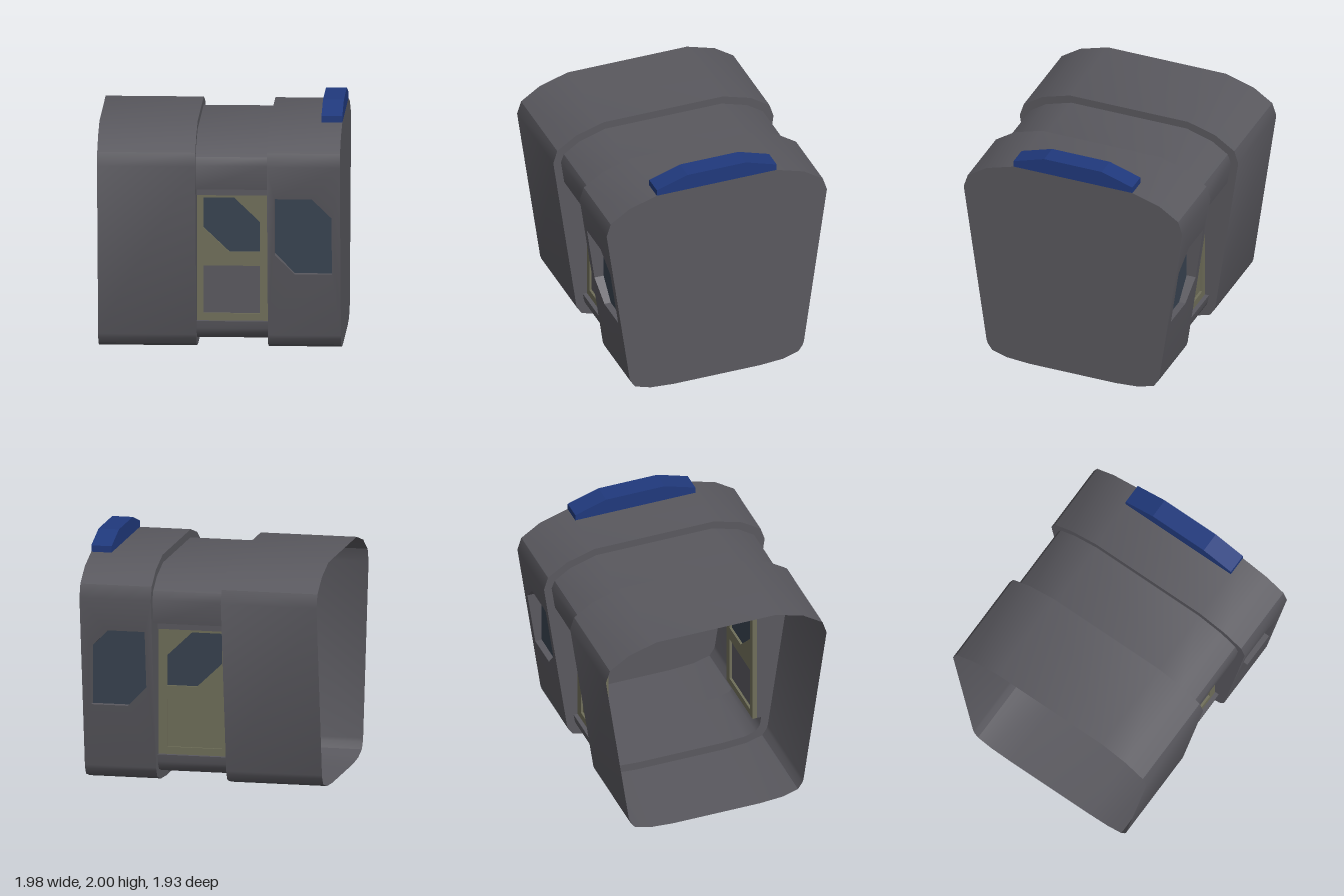
import * as THREE from 'three';
import { mergeGeometries, toCreasedNormals } from 'three/addons/utils/BufferGeometryUtils.js';

const mat = (color) => new THREE.MeshStandardMaterial({ color, side: THREE.DoubleSide });
const V = (pts) => pts.map(([a, b]) => new THREE.Vector2(a, b));

// Half cross-sections as [z, y], from the floor up to the roof
const OUTER = [[0.38, 0], [0.58, 0.014], [0.715, 0.055], [0.753, 0.11], [0.763, 0.14],
  [0.965, 1.57], [0.93, 1.68], [0.765, 1.79], [0.522, 1.863]];
const DOOR_Z = 0.67, SILL = 0.24, LINTEL = 1.365;
const INNER = [[0.37, 0.068], [0.56, 0.08], [0.655, 0.11], [0.687, 0.15], [0.697, 0.18],
  [0.706, SILL], [DOOR_Z, SILL], [DOOR_Z, LINTEL], [0.869, LINTEL],
  [0.898, 1.565], [0.872, 1.635], [0.735, 1.728], [0.51, 1.797]];
const X0 = -0.99, XA = -0.19, XB = 0.395, X1 = 0.99;

const fullLoop = (half) => [...half, ...half.map(([z, y]) => [-z, y]).reverse()];
const wallZ = (y) => 0.763 + (y - 0.14) * (0.965 - 0.763) / (1.57 - 0.14);

// Outlines in x, y
const SIDE_WINDOW = [[0.455, 1.3], [0.76, 1.3], [0.92, 1.14], [0.92, 0.66], [0.615, 0.66], [0.455, 0.825]];
const DOOR_WINDOW = [[-0.135, 1.26], [0.115, 1.26], [0.325, 1.06], [0.325, 0.81], [0.075, 0.81], [-0.135, 1.01]];
const DOOR_PANEL = [[-0.135, 0.695], [0.325, 0.695], [0.325, 0.3], [-0.135, 0.3]];
const rect = (xa, xb, ya, yb) => [[xa, ya], [xb, ya], [xb, yb], [xa, yb]];

function shapeOf(pts, ...holes) {
  const shape = new THREE.Shape(V(pts));
  holes.forEach((h) => shape.holes.push(new THREE.Path(V(h))));
  return shape;
}

// Builds quads from lists of four corners
function quads(list) {
  const pos = [];
  for (const [a, b, c, d] of list) pos.push(...a, ...b, ...c, ...a, ...c, ...d);
  const g = new THREE.BufferGeometry();
  g.setAttribute('position', new THREE.Float32BufferAttribute(pos, 3));
  g.computeVertexNormals();
  return g;
}

// Sweeps a closed cross-section along x, leaving out segments between heights in skip
function sweep(half, xa, xb, skip) {
  const loop = fullLoop(half), list = [];
  loop.forEach(([z, y], i) => {
    const [z2, y2] = loop[(i + 1) % loop.length];
    if (skip && Math.min(y, y2) === skip[0] && Math.max(y, y2) === skip[1]) return;
    list.push([[xa, y, z], [xb, y, z], [xb, y2, z2], [xa, y2, z2]]);
  });
  return quads(list);
}

// Sloping side wall with a window opening; s is the side
function windowWall(s) {
  const g = new THREE.ShapeGeometry(shapeOf(rect(XB, X1, 0.14, 1.57), SIDE_WINDOW));
  const p = g.attributes.position;
  for (let i = 0; i < p.count; i++) p.setZ(i, s * wallZ(p.getY(i)));
  if (s < 0) g.index.array.reverse();
  const flat = g.toNonIndexed();
  flat.deleteAttribute('uv');
  flat.computeVertexNormals();
  return flat;
}

export function createModel() {
  const model = new THREE.Group();
  const shellMat = mat(0x59585e), oliveMat = mat(0x6f6e59), glassMat = mat(0x37424f), blueMat = mat(0x20397c);
  const add = (parent, name, geometry, material) => {
    const m = new THREE.Mesh(geometry, material);
    m.name = name;
    parent.add(m);
    return m;
  };
  const smooth = (g) => toCreasedNormals(g, 0.6);

  // Hull: open rear section, recessed door section, windowed end section
  add(model, 'openSection', smooth(sweep(OUTER, X0, XA)), shellMat);
  add(model, 'doorSection', smooth(sweep(INNER, XA, XB, [SILL, LINTEL])), shellMat);
  add(model, 'endSection', smooth(mergeGeometries(
    [sweep(OUTER, XB, X1, [0.14, 1.57]), windowWall(1), windowWall(-1)])), shellMat);

  // Bulkhead rings at the steps, and the closed end
  const ring = shapeOf(fullLoop(OUTER), fullLoop(INNER));
  [[XA, 1], [XB, -1]].forEach(([x, dir]) =>
    add(model, 'bulkheadRing', new THREE.ShapeGeometry(ring).rotateY(dir * Math.PI / 2).translate(x, 0, 0), shellMat));
  add(model, 'endWall', new THREE.ShapeGeometry(shapeOf(fullLoop(OUTER)))
    .rotateY(Math.PI / 2).translate(X1, 0, 0), shellMat);

  // Roof fin
  const finHalf = [[0.525, 1.86], [0.525, 1.915], [0.255, 2]];
  add(model, 'roofFin', new THREE.ExtrudeGeometry(shapeOf(fullLoop(finHalf)),
    { depth: 0.17, bevelEnabled: false }).rotateY(Math.PI / 2).translate(0.82, 0, 0), blueMat);

  // Doors and side windows, the same on both sides
  for (const s of [1, -1]) {
    const side = new THREE.Group();
    side.name = s > 0 ? 'frontSide' : 'backSide';
    side.scale.z = s;
    model.add(side);

    // Door leaf with window and lower panel
    add(side, 'doorLeaf', new THREE.ExtrudeGeometry(
      shapeOf(rect(XA, XB, SILL, LINTEL), DOOR_WINDOW, DOOR_PANEL),
      { depth: 0.04, bevelEnabled: false }).translate(0, 0, DOOR_Z - 0.04), oliveMat);
    add(side, 'doorGlass', new THREE.ShapeGeometry(shapeOf(DOOR_WINDOW))
      .translate(0, 0, DOOR_Z - 0.02), glassMat);
    add(side, 'doorPanel', new THREE.ShapeGeometry(shapeOf(DOOR_PANEL))
      .translate(0, 0, DOOR_Z - 0.02), s > 0 ? shellMat : oliveMat);
    add(side, 'doorHeader', new THREE.BoxGeometry(XB - XA, 0.08, 0.05)
      .translate((XA + XB) / 2, 1.325, DOOR_Z + 0.01), shellMat);

    // Side window: upright glass set into the sloping wall
    const glassZ = 0.78;
    add(side, 'windowReveal', quads(SIDE_WINDOW.map(([x, y], i) => {
      const [x2, y2] = SIDE_WINDOW[(i + 1) % SIDE_WINDOW.length];
      return [[x, y, wallZ(y)], [x2, y2, wallZ(y2)], [x2, y2, glassZ], [x, y, glassZ]];
    })), shellMat);
    add(side, 'windowGlass', new THREE.ShapeGeometry(shapeOf(SIDE_WINDOW)).translate(0, 0, glassZ), glassMat);
  }
  return model;
}
